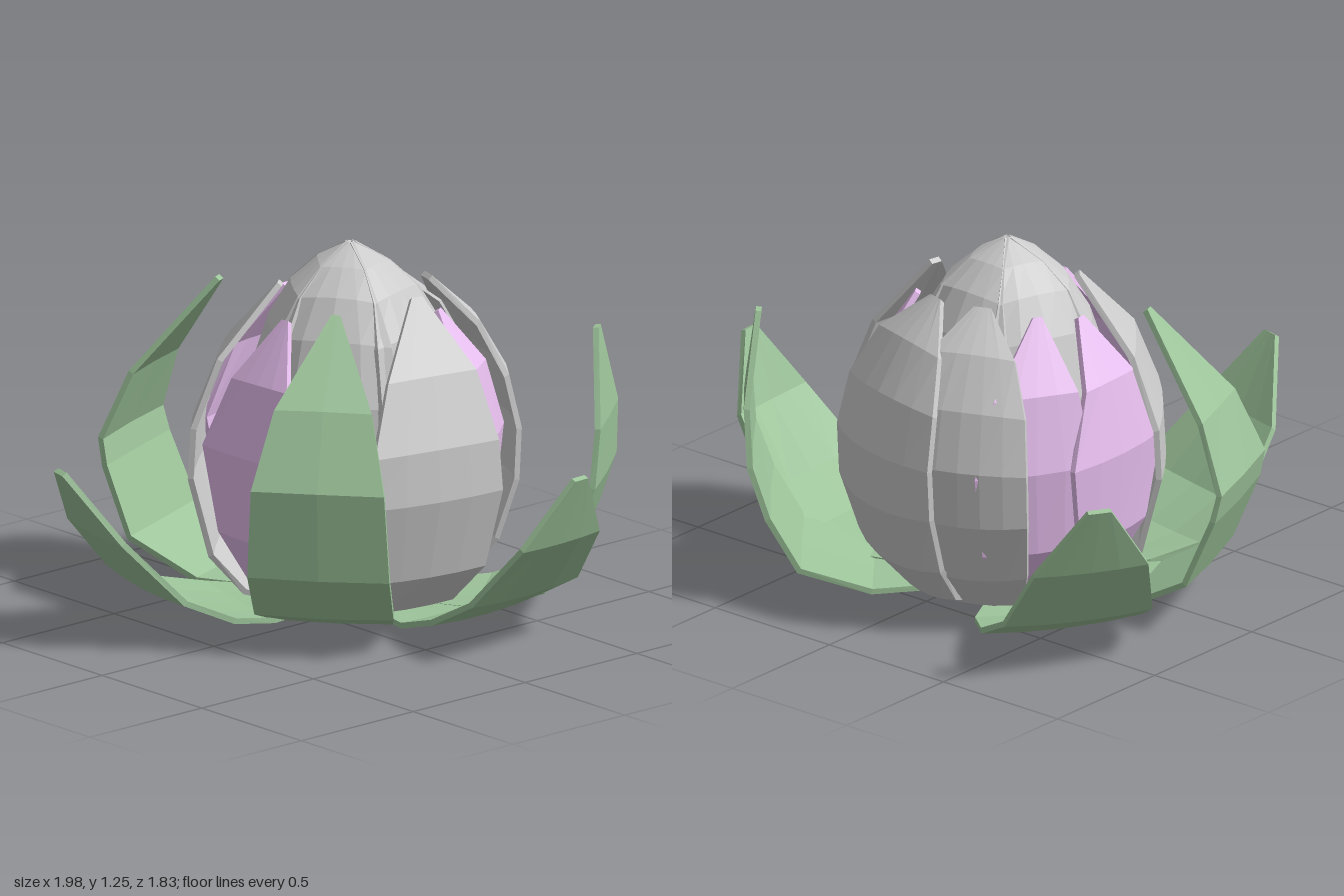
import * as THREE from 'three';

const paint = color => new THREE.MeshStandardMaterial({ color, flatShading: true });

// A thick cupped petal facing +z. Each row is [distance from axis, height, half width, sideways shift].
function petalGeometry(rows, cup, cols = 4, thick = 0.02) {
  const pos = [], idx = [], n = (cols + 1) * 2;
  rows.forEach(([r, y, w, shift = 0], i) => {
    const a = rows[Math.max(i - 1, 0)], b = rows[Math.min(i + 1, rows.length - 1)];
    const len = Math.hypot(b[0] - a[0], b[1] - a[1]);
    const nz = -(b[1] - a[1]) / len, ny = (b[0] - a[0]) / len;   // inward normal
    for (let k = 0; k < n; k++) {
      const inner = k > cols;
      const x = w * ((inner ? n - 1 - k : k) / cols * 2 - 1);
      const d = cup * x * x + (inner ? thick : 0);
      pos.push(x + shift, y + ny * d, r + nz * d);
    }
  });
  const top = (rows.length - 1) * n;
  for (let i = 0; i < rows.length - 1; i++) {
    for (let k = 0; k < n; k++) {
      const a = i * n + k, b = i * n + (k + 1) % n;
      idx.push(a, b, b + n, a, b + n, a + n);
    }
  }
  // close the base and the tip
  for (let k = 0; k < cols; k++) {
    const a = k, b = k + 1, c = n - 2 - k, d = n - 1 - k;
    idx.push(a, c, b, a, d, c);
    idx.push(top + a, top + b, top + c, top + a, top + c, top + d);
  }
  const geo = new THREE.BufferGeometry();
  geo.setAttribute('position', new THREE.Float32BufferAttribute(pos, 3));
  geo.setIndex(idx);
  geo.computeVertexNormals();
  return geo;
}

export function createModel() {
  const model = new THREE.Group();
  const flower = new THREE.Group();
  flower.name = 'flower';
  flower.position.set(-0.1, 0, -0.2);
  model.add(flower);

  const grey = paint(0xcccccc), pink = paint(0xe8c0f0), green = paint(0x9dc49a);
  const add = (name, material, dx, dz, rows, cup, cols) => {
    const petal = new THREE.Mesh(petalGeometry(rows, cup, cols), material);
    petal.name = name;
    petal.rotation.y = Math.atan2(dx, dz);
    flower.add(petal);
  };

  // Closed heart of the bud
  const heart = [[0.13, 0.03, 0.08], [0.29, 0.2, 0.18], [0.36, 0.5, 0.24], [0.35, 0.78, 0.24],
    [0.28, 0.99, 0.2], [0.2, 1.12, 0.14], [0.11, 1.2, 0.08], [0.01, 1.26, 0.015]];
  for (let i = 0; i < 5; i++) {
    const a = 0.6 + i * Math.PI * 2 / 5;
    add('heartPetal', grey, Math.sin(a), Math.cos(a), heart, 1.3);
  }

  // Grey bud petals: two flatter ones at the front and side, two broad ones at the back
  const bud = (tipR, shift, tipShift) => [[0.14, 0.01, 0.1], [0.34, 0.06, 0.18, shift / 2], [0.46, 0.2, 0.22, shift],
    [0.53, 0.48, 0.25, shift], [0.52, 0.66, 0.24, shift], [0.43, 0.89, 0.17, (shift + tipShift) / 2],
    [tipR, 1.12, 0.02, tipShift]];
  const broadBud = (r, w) => [[0.14, 0.01, 0.4 * w], [r - 0.22, 0.06, 0.7 * w], [r - 0.09, 0.2, 0.9 * w],
    [r - 0.01, 0.42, w], [r, 0.62, w], [r - 0.05, 0.82, 0.92 * w], [r - 0.15, 0.99, 0.65 * w], [r - 0.28, 1.11, 0.03]];
  add('budPetal', grey, -0.76, 0.65, bud(0.24, 0, 0.03), 0.25);
  add('budPetal', grey, 0.98, 0.2, bud(0.27, 0.04, 0.1), 0.25);
  add('budPetal', grey, 0.27, -0.96, broadBud(0.57, 0.27), 0.9, 6);
  add('budPetal', grey, -0.38, -0.92, broadBud(0.55, 0.23), 0.8, 6);

  // Pink bud petals
  const blush = [[0.14, 0.02, 0.07], [0.35, 0.1, 0.12], [0.46, 0.3, 0.18], [0.49, 0.6, 0.235],
    [0.44, 0.85, 0.13], [0.31, 1.05, 0.015]];
  const slantBlush = [[0.14, 0.02, 0.08], [0.33, 0.1, 0.14, -0.02], [0.46, 0.3, 0.19, -0.05], [0.5, 0.6, 0.21, -0.07],
    [0.45, 0.86, 0.15, -0.05], [0.31, 1.09, 0.015]];
  add('pinkPetal', pink, 0.06, 1, blush, 0.45);
  add('pinkPetal', pink, 0.85, -0.53, blush, 0.45);
  add('pinkPetal', pink, -0.86, -0.51, slantBlush, 0.5);
  add('pinkPetal', pink, -1, 0.05, blush, 0.45);

  // Upright green outer petals
  add('uprightOuterPetal', green, 0.64, 0.77, [[0.15, 0.03, 0.1], [0.38, 0.04, 0.2], [0.6, 0.12, 0.235],
    [0.73, 0.29, 0.24], [0.75, 0.6, 0.225], [0.62, 0.85, 0.165], [0.33, 1.1, 0.015]], 0.12, 2);
  add('uprightOuterPetal', green, -0.93, 0.36, [[0.15, 0.03, 0.1], [0.48, 0.05, 0.2], [0.72, 0.18, 0.24],
    [0.82, 0.42, 0.23], [0.84, 0.52, 0.22], [0.75, 0.75, 0.165], [0.5, 1.07, 0.015]], 0.12, 2);
  add('uprightOuterPetal', green, 0.78, -0.63, [[0.15, 0.03, 0.1], [0.45, 0.04, 0.2], [0.7, 0.13, 0.24],
    [0.81, 0.32, 0.24], [0.87, 0.5, 0.22], [0.88, 0.7, 0.18], [0.84, 1.0, 0.02, 0.02]], 0.12, 2);

  // Spreading green outer petals
  add('spreadingOuterPetal', green, 1, -0.06, [[0.15, 0.03, 0.1], [0.45, 0.04, 0.21], [0.65, 0.1, 0.26],
    [0.83, 0.2, 0.25], [1.0, 0.42, 0.18], [1.09, 0.66, 0.03]], 0.2);
  add('spreadingOuterPetal', green, -0.23, 1, [[0.15, 0.03, 0.1], [0.42, 0.04, 0.24], [0.6, 0.07, 0.28],
    [0.79, 0.16, 0.27], [0.98, 0.38, 0.19], [1.13, 0.62, 0.03, 0.03]], 0.2);
  add('spreadingOuterPetal', green, -0.85, -0.53, [[0.15, 0.03, 0.1], [0.4, 0.04, 0.24], [0.6, 0.08, 0.28],
    [0.79, 0.18, 0.26], [0.93, 0.41, 0.2], [1.02, 0.66, 0.04]], 0.2);

  return model;
}
